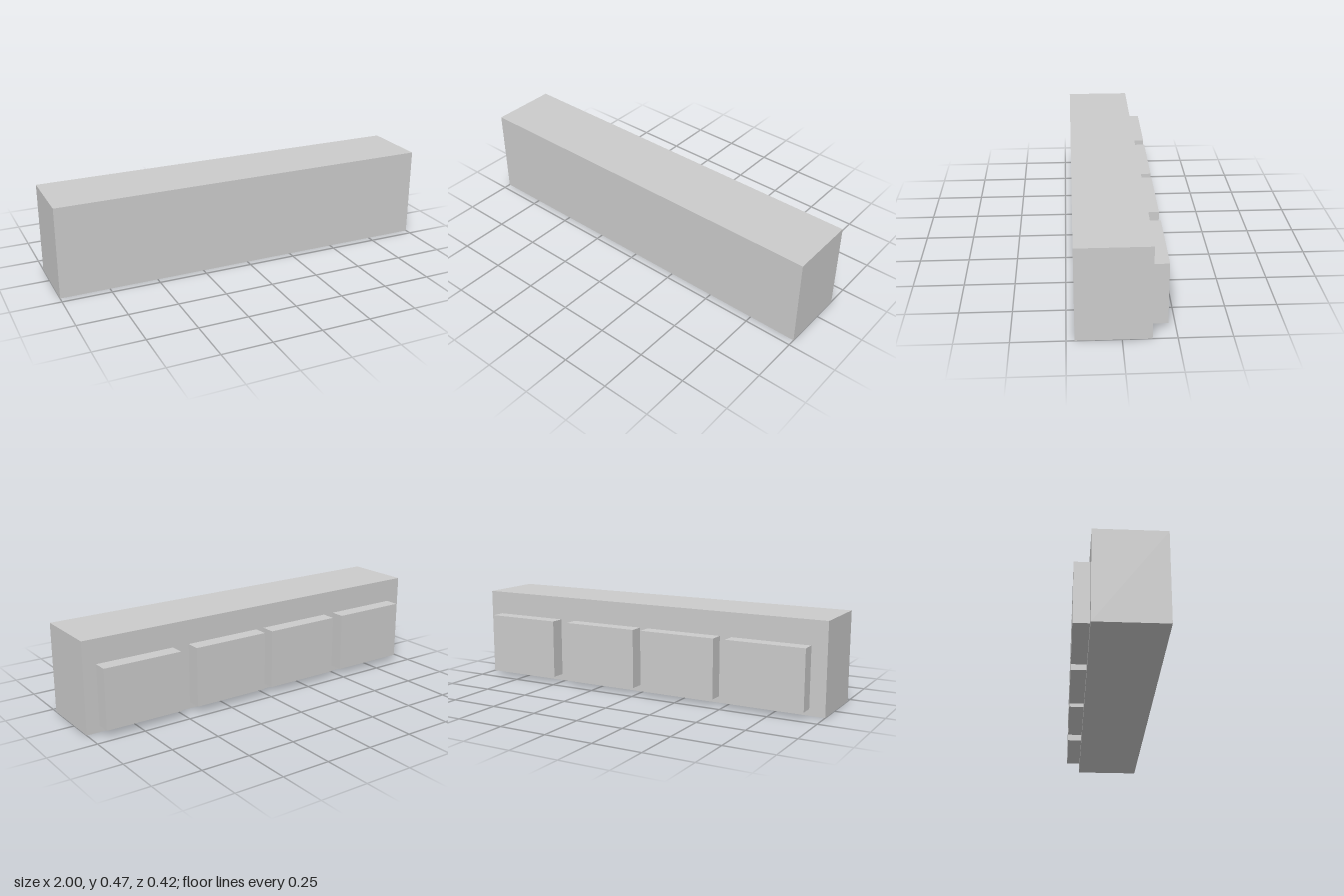
import * as THREE from 'three';

export function createModel() {
  const group = new THREE.Group();
  const material = new THREE.MeshStandardMaterial({ color: 0xcccccc, flatShading: true });

  const addBox = (name, [w, h, d], [x, y, z]) => {
    const mesh = new THREE.Mesh(new THREE.BoxGeometry(w, h, d), material);
    mesh.name = name;
    mesh.position.set(x, y, z);
    group.add(mesh);
  };

  // Long main block
  addBox('body', [2, 0.467, 0.348], [0, 0.2335, 0.038]);

  // Four slightly unevenly spaced panels on the back face
  [-0.713, -0.237, 0.222, 0.725].forEach((x, i) => {
    addBox(`backPanel${i + 1}`, [0.413, 0.309, 0.076], [x, 0.1885, -0.174]);
  });

  return group;
}
